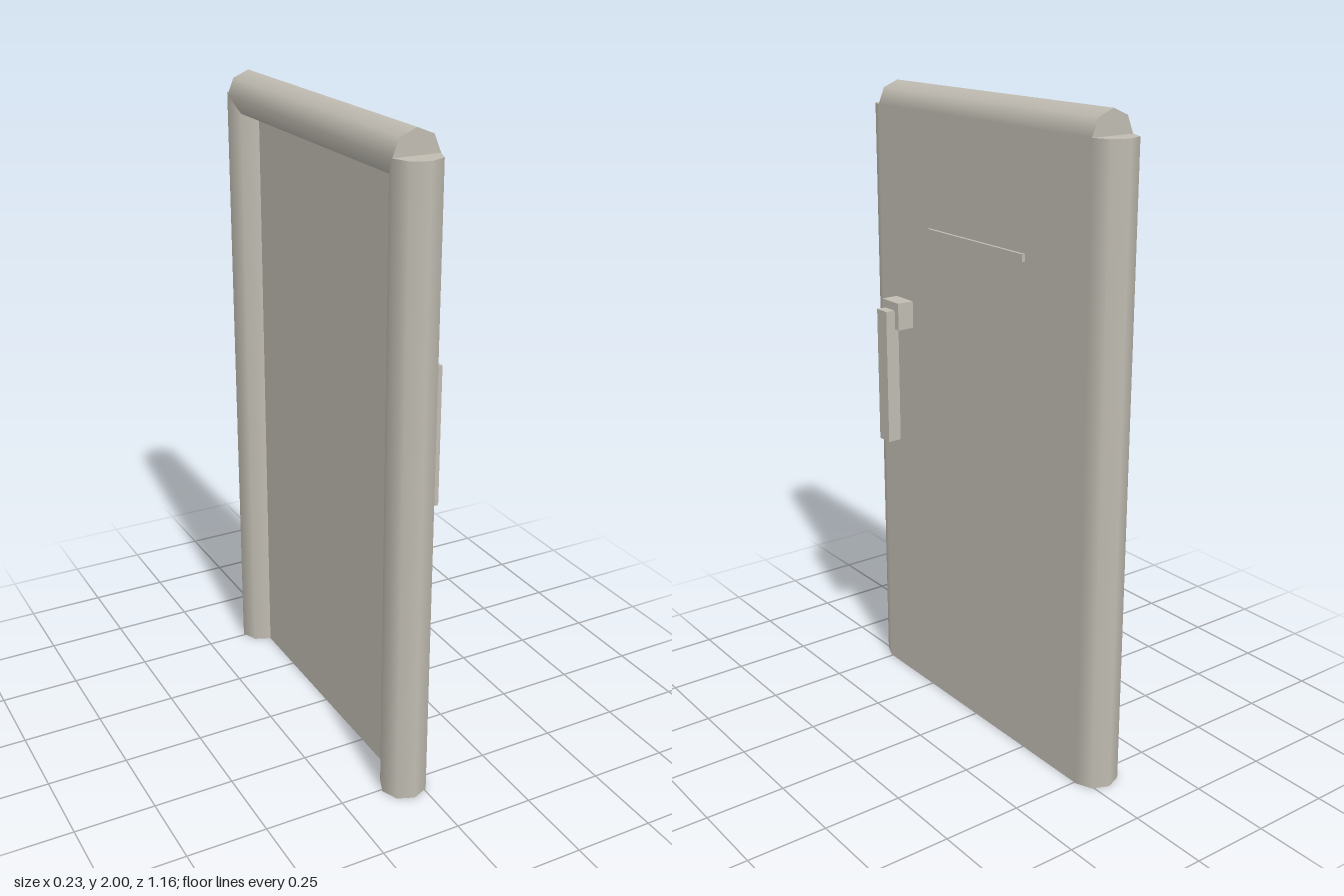
import * as THREE from 'three';

export function createModel() {
  const group = new THREE.Group();
  group.name = 'door';
  const paint = new THREE.MeshStandardMaterial({ color: 0xc0bcb2 });
  paint.name = 'warm grey paint';

  const X = -0.0445, R = 0.0717, Z = 0.507, H = 1.9283; // rim axis, radius, half width, height
  const FACE = X + R; // outer face of the door

  const add = (name, geometry, x, y, z) => {
    const mesh = new THREE.Mesh(geometry, paint);
    mesh.name = name;
    mesh.position.set(x, y, z);
    group.add(mesh);
    return mesh;
  };
  // Box given by its minimum and maximum corners
  const box = (name, [x0, y0, z0], [x1, y1, z1]) =>
    add(name, new THREE.BoxGeometry(x1 - x0, y1 - y0, z1 - z0),
      (x0 + x1) / 2, (y0 + y1) / 2, (z0 + z1) / 2);

  // Flat panel, filling the outer half of the rim's depth
  box('panel', [X, 0, -Z], [FACE, H, Z]);

  // Rounded side rims
  for (const side of [1, -1]) {
    add(side > 0 ? 'frontRim' : 'backRim', new THREE.CylinderGeometry(R, R, H, 8), X, H / 2, side * Z);
  }

  // Rounded top rim
  add('topRim', new THREE.CylinderGeometry(R, R, 2 * Z, 8), X, H, 0).rotation.x = Math.PI / 2;

  // Thin trim strip
  box('trimStrip', [FACE - 0.01, 1.557, -0.235], [0.037, 1.579, 0.235]);

  // Handle: mount and lever
  box('handleMount', [FACE - 0.01, 1.243, 0.334], [0.083, 1.33, 0.425]);
  box('handleLever', [0.07, 0.869, 0.354], [0.115, 1.304, 0.407]);

  return group;
}
